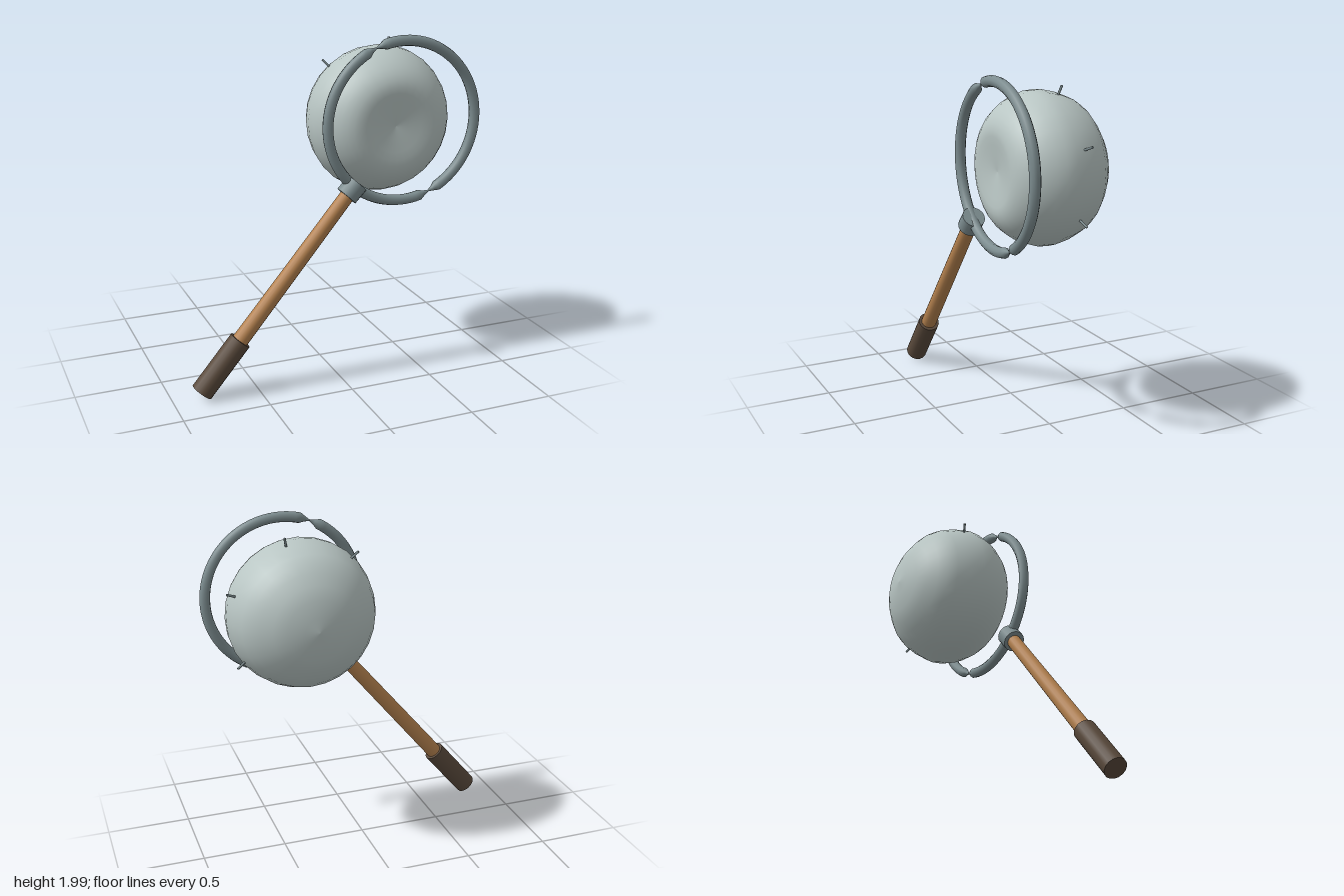
import * as THREE from 'three';
import { mergeVertices } from 'three/addons/utils/BufferGeometryUtils.js';

const mat = (name, color, side = THREE.FrontSide) => {
  const m = new THREE.MeshStandardMaterial({ color, side });
  m.name = name;
  return m;
};

export function createModel() {
  const group = new THREE.Group();
  const metal = mat('grey metal', 0x7d8d90, THREE.DoubleSide);
  const cloth = mat('pale net', 0xb9c6c4, THREE.DoubleSide);
  const wood = mat('wood', 0xb5824f);
  const leather = mat('dark grip', 0x5a4a3c);
  const hoopZ = 0.288;

  const add = (name, geometry, material) => {
    const mesh = new THREE.Mesh(geometry, material);
    mesh.name = name;
    group.add(mesh);
    return mesh;
  };

  // Round rod between two points
  const rod = (name, from, to, r0, r1, material, sides = 16) => {
    const a = new THREE.Vector3(...from), b = new THREE.Vector3(...to);
    const dir = b.clone().sub(a);
    const mesh = add(name, new THREE.CylinderGeometry(r1, r0, dir.length(), sides), material);
    mesh.position.copy(a).add(b).multiplyScalar(0.5);
    mesh.quaternion.setFromUnitVectors(new THREE.Vector3(0, 1, 0), dir.normalize());
    return mesh;
  };

  // Handle, grip and ferrule share one slanted axis
  rod('grip', [-0.835, 0.051, hoopZ], [-0.601, 0.33, hoopZ], 0.065, 0.065, leather);
  rod('handle', [-0.66, 0.26, hoopZ], [0.08, 1.145, hoopZ], 0.048, 0.042, wood);
  rod('ferrule', [0.046, 1.108, hoopZ], [0.112, 1.178, hoopZ], 0.066, 0.066, metal);

  // Hoop: torus whose tube pinches at two opposite twists
  const R = 0.46, tube = 0.031, pinch = 0.13;
  let hoop = new THREE.TorusGeometry(R, tube, 10, 96);
  const p = hoop.attributes.position;
  for (let i = 0; i < p.count; i++) {
    const x = p.getX(i), y = p.getY(i), r = Math.hypot(x, y);
    const angle = Math.atan2(y, x);
    const offset = Math.min(Math.abs(angle), Math.PI - Math.abs(angle));
    const s = Math.max(0.15, Math.min(1, offset / pinch));
    const k = (R + (r - R) * s) / r;
    p.setXYZ(i, x * k, y * k, p.getZ(i) * s);
  }
  hoop.deleteAttribute('uv');
  hoop.deleteAttribute('normal');
  hoop = mergeVertices(hoop, 1e-5);
  hoop.computeVertexNormals();
  const ring = add('hoop', hoop, metal);
  ring.position.set(0.392, 1.509, hoopZ);
  ring.rotation.z = THREE.MathUtils.degToRad(112);

  // Net bag: squashed ball with a shallow dent at the front
  const profile = new THREE.SplineCurve([
    [0, -0.355], [0.175, -0.327], [0.305, -0.25], [0.385, -0.16], [0.433, 0],
    [0.41, 0.115], [0.36, 0.2], [0.3, 0.257], [0.23, 0.285], [0.15, 0.28], [0, 0.26],
  ].map(([r, z]) => new THREE.Vector2(r, z))).getPoints(20);
  profile.forEach((v) => { v.x = Math.max(0, v.x); });
  const bag = add('netBag', new THREE.LatheGeometry(profile, 28).rotateX(Math.PI / 2), cloth);
  bag.position.set(0.362, 1.478, 0);

  // Small pegs on the bag
  [-33, 22, 77, 132].forEach((deg) => {
    const a = THREE.MathUtils.degToRad(deg), c = Math.cos(a), s = Math.sin(a);
    const at = (r, z) => [0.362 + c * r, 1.478 + s * r, z];
    rod('peg', at(0.41, -0.053), at(0.472, -0.073), 0.007, 0.007, metal, 8);
  });

  return group;
}
